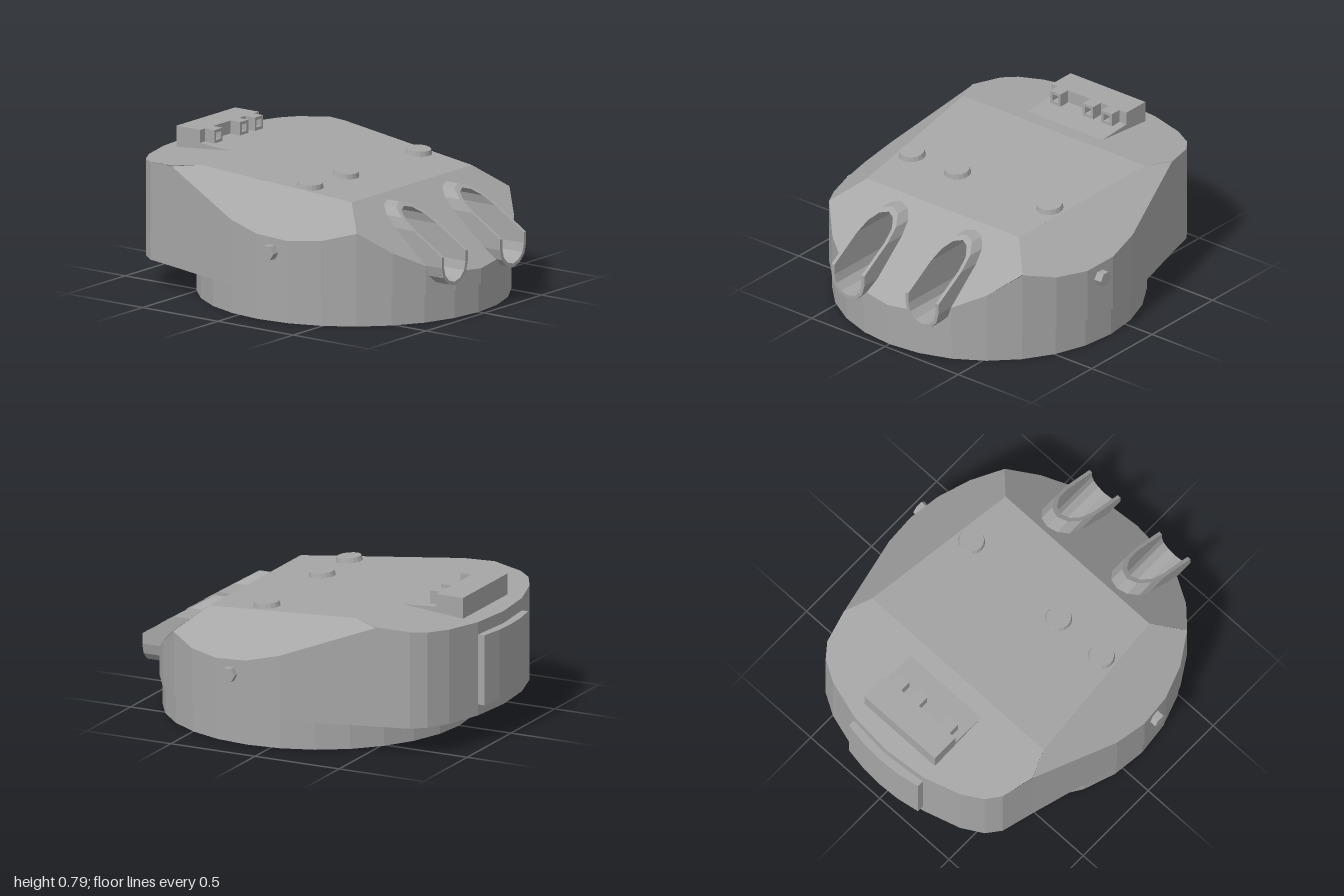
import * as THREE from 'three';

const steel = new THREE.MeshStandardMaterial({ color: 0xa6a6a6, side: THREE.DoubleSide });
steel.name = 'steelGrey';

// Armour planes: height as a function of plan position
const glacisY = (x, z) => 0.63 - 0.85 * (z - 0.52);
const glacisZ = (y) => 0.52 + (0.63 - y) / 0.85;
const frontRoofY = (x, z) => 0.63 + 0.0924 * (0.52 - z);
const rearRoofY = (x, z) => 0.715 + 0.088 * (z + 0.4);
const bevelY = (x, z) => 1.0833 - 0.703 * Math.abs(x) - 0.1688 * z;

const BASE = 0.155, CENTRE_Z = 0.135, SIDES = 28;
const PORT_X = 0.2525, PORT_LOW = 0.3125, PORT_HIGH = 0.4875;
const mirror = (pts) => pts.map(([x, z, y]) => [-x, z, y]).reverse();
const circle = (r) => Array.from({ length: SIDES }, (_, i) => {
  const a = (i * 2 * Math.PI) / SIDES;
  return [r * Math.sin(a), CENTRE_Z + r * Math.cos(a)];
});

function add(parent, name, geometry) {
  const flat = geometry.index ? geometry.toNonIndexed() : geometry;
  flat.computeVertexNormals();
  const mesh = new THREE.Mesh(flat, steel);
  mesh.name = name;
  parent.add(mesh);
  return mesh;
}

// Band of quads between two closed loops of [x, y, z]
function strip(a, b) {
  const pos = [];
  a.forEach((p, i) => {
    const j = (i + 1) % a.length;
    pos.push(...p, ...a[j], ...b[j], ...p, ...b[j], ...b[i]);
  });
  const g = new THREE.BufferGeometry();
  g.setAttribute('position', new THREE.Float32BufferAttribute(pos, 3));
  return g;
}

// Plan polygon of [x, z] lifted onto a plane
function plate(pts, heightAt, hole) {
  const shape = new THREE.Shape(pts.map(([x, z]) => new THREE.Vector2(x, -z)));
  if (hole) shape.holes.push(new THREE.Path(hole.map(([x, z]) => new THREE.Vector2(x, -z))));
  const g = new THREE.ShapeGeometry(shape);
  const p = g.attributes.position;
  for (let i = 0; i < p.count; i++) {
    const x = p.getX(i), z = -p.getY(i);
    p.setXYZ(i, x, heightAt(x, z), z);
  }
  return g;
}

// Upright oval of [x, y], with a point on each side where the rim bends
function oval(cx, r) {
  const pts = [];
  for (let i = 0; i <= 6; i++) {
    const a = Math.PI + (i * Math.PI) / 6;
    pts.push([cx + r * Math.cos(a), PORT_LOW + r * Math.sin(a)]);
  }
  pts.push([cx + r, 0.37]);
  for (let i = 0; i <= 6; i++) {
    const a = (i * Math.PI) / 6;
    pts.push([cx + r * Math.cos(a), PORT_HIGH + r * Math.sin(a)]);
  }
  pts.push([cx - r, 0.37]);
  return pts;
}

function buildHull(group) {
  const round = circle(0.845);
  const frontZ = (x) => {
    const i = x < round[1][0] ? 0 : 1;
    const [x0, z0] = round[i], [x1, z1] = round[i + 1];
    return z0 + ((z1 - z0) * (x - x0)) / (x1 - x0);
  };
  const rear = [[0.682, -0.55], [0.634, -0.73], [0.575, -0.805], [0.46, -0.872], [0.25, -0.935], [0, -0.957]];
  const topY = (x, z) => Math.min(glacisY(x, z), frontRoofY(x, z), rearRoofY(x, z), bevelY(x, z));

  // Side wall, notched under the gun ports
  const notch = [-0.09, round[1][0] - PORT_X, 0, 0.05, 0.1].map((o) => {
    const x = PORT_X + o, z = frontZ(x);
    return [x, z, Math.min(glacisY(x, z), PORT_LOW - Math.sqrt(0.1025 ** 2 - o * o))];
  });
  const plain = ([x, z]) => [x, z, topY(x, z)];
  const half = [plain(round[0]), ...notch, ...round.slice(2, 9).map(plain), ...rear.map(plain)];
  const loop = [...half, ...mirror(half.slice(1, -1))];
  add(group, 'sideWall', strip(loop.map(([x, z]) => [x, BASE, z]), loop.map(([x, z, y]) => [x, y, z])));

  // Sloped front plate with two port openings
  const opening = [[PORT_X - 0.09, frontZ(PORT_X - 0.09)], [PORT_X - 0.1, glacisZ(0.31)]];
  for (let i = 0; i <= 8; i++) {
    const a = Math.PI - (i * Math.PI) / 8;
    opening.push([PORT_X + 0.1 * Math.cos(a), glacisZ(PORT_HIGH + 0.1 * Math.sin(a))]);
  }
  opening.push([PORT_X + 0.1, frontZ(PORT_X + 0.1)]);
  const glacis = [round[0], ...opening, round[2], round[3], round[4], [0.52, 0.52]];
  add(group, 'frontPlate', plate([...glacis, ...mirror(glacis.slice(1))], glacisY));

  // Roof and bevelled shoulders
  const roof = [[0.52, 0.52], [0.62, -0.4]];
  add(group, 'frontRoof', plate([...roof, ...mirror(roof)], frontRoofY));
  const back = [[0.62, -0.4], ...rear];
  add(group, 'rearRoof', plate([...back, ...mirror(back.slice(0, -1))], rearRoofY));
  const bevel = [[0.52, 0.52], ...round.slice(4, 9), rear[0], [0.62, -0.4]];
  add(group, 'leftShoulder', plate(bevel, bevelY));
  add(group, 'rightShoulder', plate(mirror(bevel), bevelY));

  // Floor overhang around the open ring
  const floor = [...round.slice(0, 9), ...rear];
  const ring = circle(0.83);
  add(group, 'floorOverhang', plate([...floor, ...mirror(floor.slice(1, -1))], () => BASE, ring));
  add(group, 'turretRing', strip(ring.map(([x, z]) => [x, 0, z]), ring.map(([x, z]) => [x, BASE, z])));
}

// Oval sleeve cut back along its upper rim
function buildPort(group, name, cx) {
  const port = new THREE.Group();
  port.name = name;
  group.add(port);
  const back = ([x, y]) => [x, y, 0.52];
  const rim = ([x, y]) => [x, y, Math.min(1, 0.63 + (0.6 - y) * 1.61)];
  const outer = oval(cx, 0.1125), inner = oval(cx, 0.093);
  add(port, 'sleeveOutside', strip(outer.map(back), outer.map(rim)));
  add(port, 'sleeveInside', strip(inner.map(rim), inner.map(back)));
  add(port, 'sleeveRim', strip(outer.map(rim), inner.map(rim)));
  const cap = new THREE.ShapeGeometry(new THREE.Shape(outer.map(([x, y]) => new THREE.Vector2(x, y))));
  add(port, 'sleeveBack', cap.translate(0, 0, 0.52));
}

function buildSight(group) {
  // Ramp and housing from one side profile of [z, y]
  const profile = [[-0.48, 0.706], [-0.69, 0.72], [-0.69, 0.79], [-0.848, 0.79], [-0.848, 0.66]];
  const shape = new THREE.Shape(profile.map(([z, y]) => new THREE.Vector2(-z, y)));
  const housing = new THREE.ExtrudeGeometry(shape, { depth: 0.51, bevelEnabled: false });
  add(group, 'sightHousing', housing.rotateY(Math.PI / 2).translate(-0.255, 0, 0));

  // Hollow square lens boxes
  const square = (s, Type) => new Type([[-s, -s], [s, -s], [s, s], [-s, s]].map(([x, y]) => new THREE.Vector2(x, y)));
  for (const x of [-0.178, 0.045, 0.172]) {
    const box = square(0.036, THREE.Shape);
    box.holes.push(square(0.02, THREE.Path));
    const lens = new THREE.ExtrudeGeometry(box, { depth: 0.065, bevelEnabled: false });
    add(group, 'lensBox', lens.translate(x, 0.754, -0.692));
  }
}

export function createModel() {
  const group = new THREE.Group();
  group.name = 'gunTurret';
  buildHull(group);
  buildPort(group, 'leftGunPort', PORT_X);
  buildPort(group, 'rightGunPort', -PORT_X);
  buildSight(group);

  // Low round hatches lying on the sloped roof
  for (const x of [-0.47, -0.16, 0.47]) {
    const hatch = add(group, 'roofHatch', new THREE.CylinderGeometry(0.066, 0.075, 0.036, 16));
    hatch.position.set(x, frontRoofY(x, 0.205) + 0.008, 0.205);
    hatch.rotation.x = 0.092;
  }

  // Hexagonal bar running through both side walls
  const bar = add(group, 'crossBar', new THREE.CylinderGeometry(0.042, 0.042, 1.75, 6));
  bar.rotation.z = Math.PI / 2;
  bar.position.set(0, 0.38, 0.23);

  // Curved plate on the rear wall
  const edge = [[0.25, -0.92], [0.25, -0.972], [0.12, -0.994], [0, -1]];
  const outline = [...edge, ...mirror(edge.slice(0, -1))];
  const rear = new THREE.Shape(outline.map(([x, z]) => new THREE.Vector2(x, -z)));
  const panel = new THREE.ExtrudeGeometry(rear, { depth: 0.385, bevelEnabled: false });
  add(group, 'rearPlate', panel.rotateX(-Math.PI / 2).translate(0, 0.215, 0));
  return group;
}
